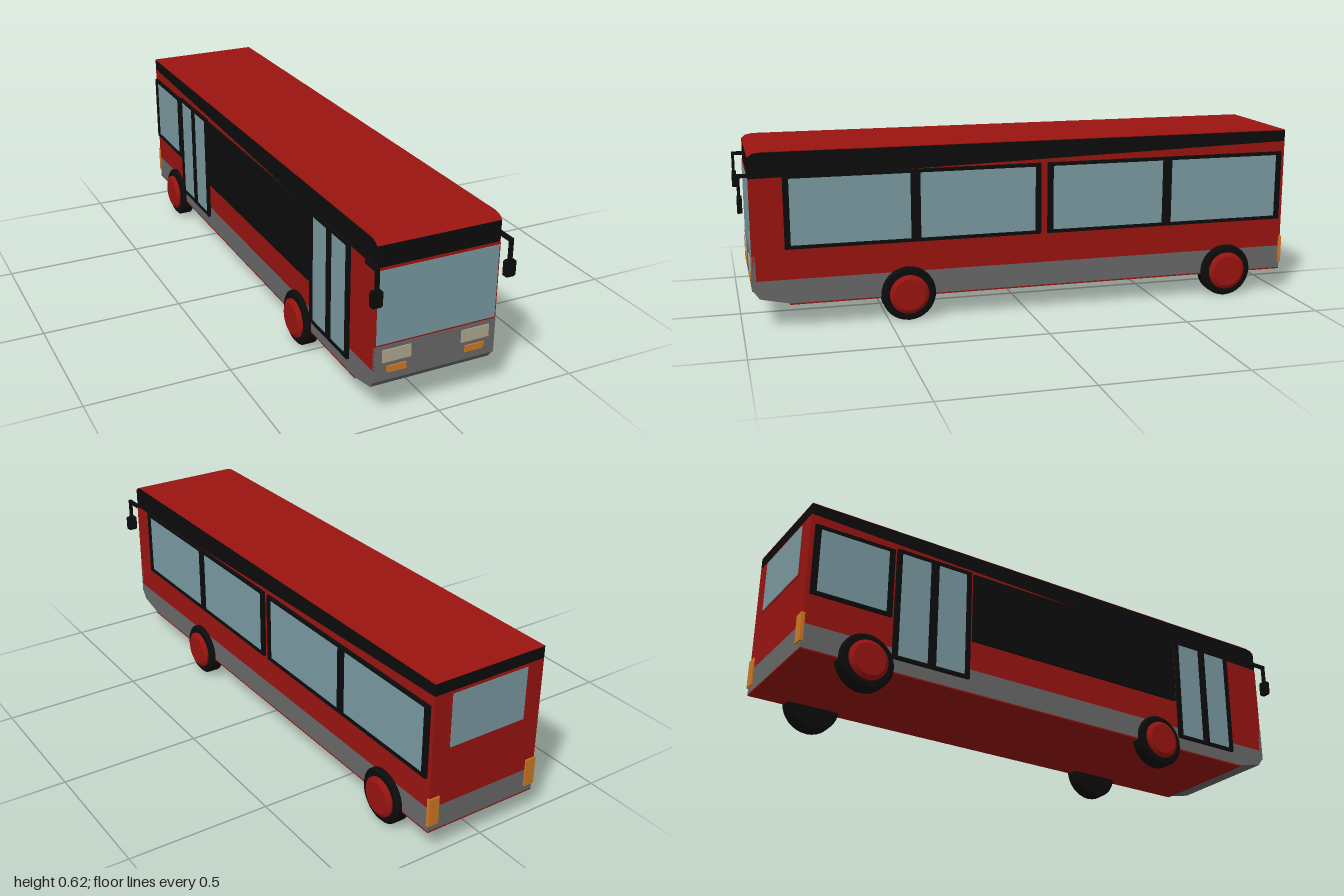
import * as THREE from 'three';

const mat = (color) => new THREE.MeshStandardMaterial({ color });
const RED = mat(0x9a1410), BLACK = mat(0x0c0c0c), GREY = mat(0x696969), GLASS = mat(0x7a9aa2);
const ORANGE = mat(0xd07a24), LAMP = mat(0xb0a890);
const BACK = -0.995, FRONT = 0.96, HALF = 0.215;

export function createModel() {
  const bus = new THREE.Group();
  bus.name = 'bus';

  const add = (name, geometry, material, parent = bus) => {
    const mesh = new THREE.Mesh(geometry, material);
    mesh.name = name;
    parent.add(mesh);
    return mesh;
  };
  // box from its limits on each axis
  const box = (name, material, x0, x1, y0, y1, z0, z1, parent) => {
    const g = new THREE.BoxGeometry(Math.abs(x1 - x0), y1 - y0, z1 - z0);
    g.translate((x0 + x1) / 2, (y0 + y1) / 2, (z0 + z1) / 2);
    return add(name, g, material, parent);
  };
  const outline = (points) => new THREE.Shape(points.map(([z, y]) => new THREE.Vector2(z, y)));
  const rect = (z0, z1, y0, y1) => [[z0, y0], [z1, y0], [z1, y1], [z0, y1]];
  // side outline in (z, y), extruded between two x positions
  const slab = (name, material, shape, x0, x1, parent) => {
    const g = new THREE.ExtrudeGeometry(shape, { depth: x1 - x0, bevelEnabled: false });
    g.rotateY(-Math.PI / 2).translate(x1, 0, 0);
    return add(name, g, material, parent);
  };
  const across = (name, material, points, half = HALF) => slab(name, material, outline(points), -half, half);

  // body layers, from the floor to the roof
  box('floor', RED, -HALF, HALF, 0.085, 0.09, BACK, 0.84);
  across('skirt', GREY, [[BACK, 0.175], [BACK, 0.09], [0.84, 0.09], [0.94, 0.112], [FRONT, 0.14], [FRONT, 0.175]]);
  const seam = [[FRONT, 0.528], [0.5, 0.535], [BACK, 0.575]];
  across('bodyShell', RED, [[BACK, 0.175], [FRONT, 0.175], ...seam]);
  across('upperBand', BLACK, [...seam].reverse().concat([[FRONT, 0.6], [0.945, 0.612], [0.92, 0.616], [BACK, 0.616]]));
  across('roof', RED, [[0.961, 0.6], [0.946, 0.6125], [0.92, 0.6175], [BACK, 0.6175],
    [BACK, 0.615], [0.92, 0.615], [0.944, 0.611], [0.959, 0.6]]);

  // front end
  box('frontPanel', GREY, -HALF, HALF, 0.14, 0.262, 0.95, 0.964);
  box('windshieldTrim', RED, -HALF, HALF, 0.262, 0.525, 0.95, 0.962);
  box('windshield', GLASS, -0.211, 0.211, 0.268, 0.519, 0.95, 0.9635);

  // rear window
  box('rearWindowTrim', RED, -0.155, 0.155, 0.371, 0.571, BACK - 0.002, BACK);
  box('rearWindow', GLASS, -0.148, 0.148, 0.378, 0.565, BACK - 0.0035, BACK);

  // framed glazing on one side, split into equal panes
  const glazing = (name, side, z0, z1, y0, y1, panes = 1, rim = 0.02, post = 0.034) => {
    const group = new THREE.Group();
    group.name = name;
    bus.add(group);
    const frame = outline(rect(z0, z1, y0, y1));
    const w = (z1 - z0 - 2 * rim - (panes - 1) * post) / panes;
    const limits = side > 0 ? [HALF, 0.225] : [-0.225, -HALF];
    const glass = side > 0 ? [HALF, 0.221] : [-0.221, -HALF];
    for (let i = 0; i < panes; i++) {
      const a = z0 + rim + i * (w + post);
      const pane = rect(a, a + w, y0 + 0.012, y1 - 0.012);
      frame.holes.push(new THREE.Path(pane.map(([z, y]) => new THREE.Vector2(z, y))));
      slab('pane', GLASS, outline(pane), ...glass, group);
    }
    slab('frame', BLACK, frame, ...limits, group);
  };
  glazing('frontLeftWindows', 1, -0.05, 0.85, 0.282, 0.537, 2);
  glazing('rearLeftWindows', 1, -0.98, -0.075, 0.282, 0.537, 2);
  glazing('rearRightWindow', -1, -0.98, -0.69, 0.282, 0.537);
  glazing('rearDoor', -1, -0.68, -0.39, 0.135, 0.545, 2, 0.018, 0.03);
  glazing('frontDoor', -1, 0.53, 0.8, 0.135, 0.54, 2, 0.018, 0.03);
  for (const [z0, z1] of [[-0.38, 0.07], [0.07, 0.52]]) {
    box('darkSidePanel', BLACK, -0.225, -HALF, 0.282, 0.54, z0, z1);
  }

  // wheel profiles as (radius, distance along the axle)
  const lathe = (points) => new THREE.LatheGeometry(points.map(([r, h]) => new THREE.Vector2(r, h)), 32);
  const tyre = lathe([[0, 0], [0.088, 0], [0.088, 0], [0.096, 0.007], [0.096, 0.007],
    [0.096, 0.047], [0.096, 0.047], [0.088, 0.054], [0.088, 0.054], [0, 0.054]]);
  const hub = lathe([[0.069, 0.05], [0.069, 0.061], [0.069, 0.061], [0.056, 0.069], [0.056, 0.069], [0, 0.069]]);

  for (const s of [-1, 1]) {
    for (const z of [0.43, -0.77]) {
      const wheel = new THREE.Group();
      wheel.name = z > 0 ? 'frontWheel' : 'rearWheel';
      add('tyre', tyre, BLACK, wheel);
      add('hub', hub, RED, wheel);
      wheel.rotation.z = -s * Math.PI / 2;
      wheel.position.set(s * 0.178, 0.097, z);
      bus.add(wheel);
    }

    // lamps
    box('headlight', LAMP, s * 0.09, s * 0.19, 0.205, 0.248, 0.955, 0.968);
    const lamp = new THREE.Shape([[0.105, 0.19], [0.105, 0.167], [0.165, 0.167], [0.175, 0.173], [0.175, 0.19]]
      .map(([x, y]) => new THREE.Vector2(s * x, y)));
    const lampGeometry = new THREE.ExtrudeGeometry(lamp, { depth: 0.012, bevelEnabled: false });
    add('turnSignal', lampGeometry.translate(0, 0, 0.956), ORANGE);
    box('tailLight', ORANGE, s * 0.178, s * 0.218, 0.112, 0.212, -1, -0.988);

    // mirror on a bent arm
    const mirror = new THREE.Group();
    mirror.name = 'mirror';
    bus.add(mirror);
    box('armRoot', BLACK, s * 0.21, s * 0.237, 0.537, 0.549, 0.927, 0.939, mirror);
    box('armReach', BLACK, s * 0.225, s * 0.237, 0.537, 0.549, 0.93, 0.998, mirror);
    box('armDrop', BLACK, s * 0.225, s * 0.237, 0.465, 0.549, 0.988, 0.998, mirror);
    const c = 0.005, x0 = 0.213, x1 = 0.251, y0 = 0.42, y1 = 0.476;
    const head = new THREE.Shape([[x0 + c, y0], [x1 - c, y0], [x1, y0 + c], [x1, y1 - c],
      [x1 - c, y1], [x0 + c, y1], [x0, y1 - c], [x0, y0 + c]].map(([x, y]) => new THREE.Vector2(s * x, y)));
    const headGeometry = new THREE.ExtrudeGeometry(head, { depth: 0.016, bevelEnabled: false });
    add('mirrorHead', headGeometry.translate(0, 0, 0.984), BLACK, mirror);
  }
  return bus;
}
